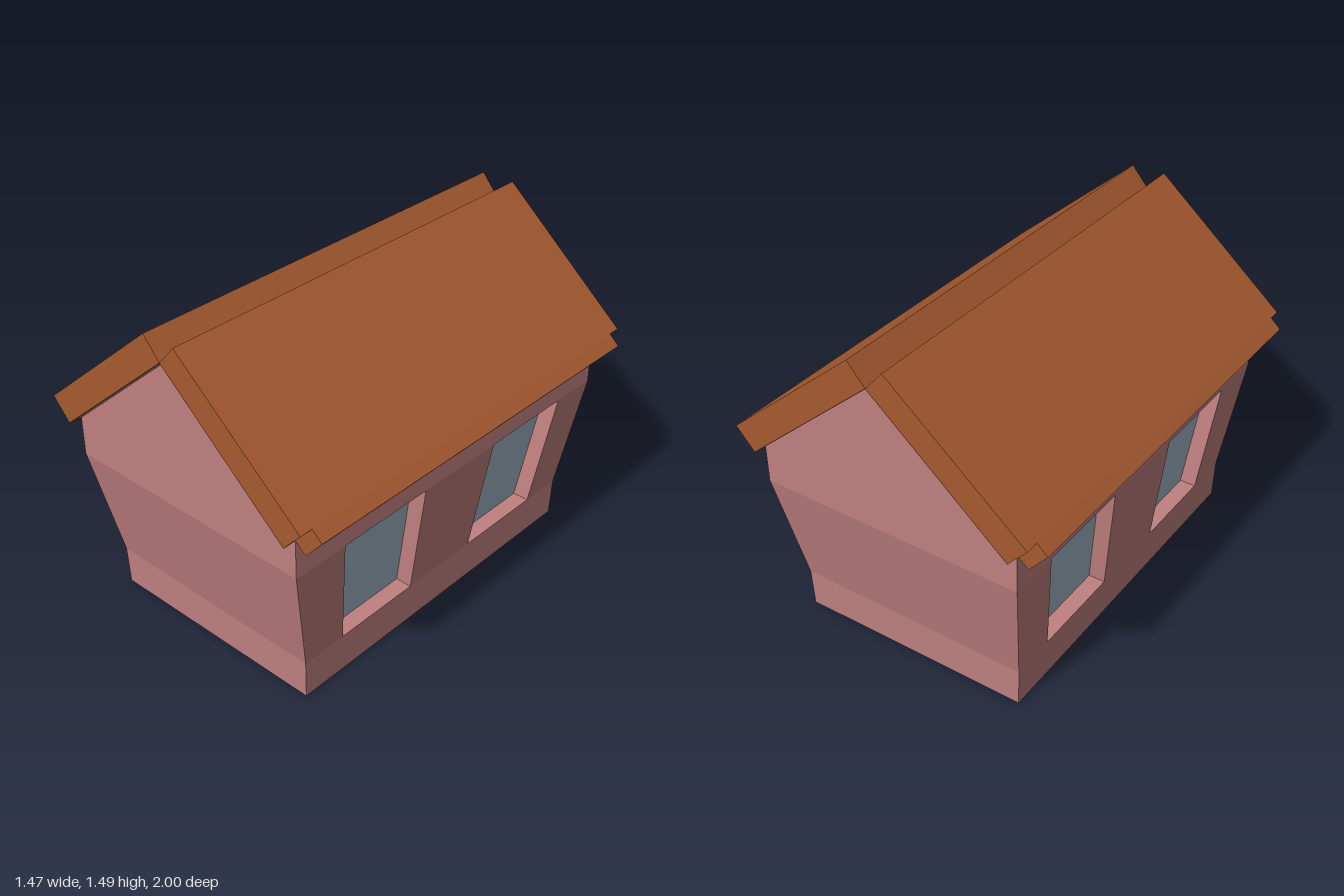
import * as THREE from 'three';

const material = (color) =>
  new THREE.MeshStandardMaterial({ color, flatShading: true, side: THREE.DoubleSide });

// Collects flat quads and triangles; mirrored corners are reversed to keep facing outward
class Faces {
  positions = [];
  add(corners, axis = 0, sign = 1) {
    let c = corners.map((p) => p.map((v, i) => (i === axis ? v * sign : v)));
    if (sign < 0) c = c.reverse();
    for (let i = 1; i < c.length - 1; i++) this.positions.push(...c[0], ...c[i], ...c[i + 1]);
  }
  mesh(name, mat) {
    const g = new THREE.BufferGeometry();
    g.setAttribute('position', new THREE.Float32BufferAttribute(this.positions, 3));
    g.computeVertexNormals();
    const m = new THREE.Mesh(g, mat);
    m.name = name;
    return m;
  }
}

export function createModel() {
  const house = new THREE.Group();
  house.name = 'house';
  const wallMat = material(0xc08080);
  const roofMat = material(0xa65a30);
  const glassMat = material(0xa5b8c9);

  // Wall levels: height, half width, half length
  const levels = [
    { y: 0, x: 0.535, z: 0.83 },
    { y: 0.178, x: 0.54, z: 0.835 },
    { y: 0.703, x: 0.605, z: 0.94 },
    { y: 0.88, x: 0.605, z: 0.94 },
  ];
  const ridge = 1.4;
  const [base, low, high, eave] = levels;

  // Window openings as z ranges at the sill and the head: [outer/front, inner/back]
  const openings = [
    { sill: [0.62, 0.2], head: [0.675, 0.2] },
    { sill: [-0.19, -0.63], head: [-0.245, -0.71] },
  ];
  const depth = 0.075;

  const walls = new Faces();
  const reveals = new Faces();
  const glass = new Faces();

  // A panel of the long wall between two levels
  const sidePanel = (a, b, sill, head) => [
    [a.x, a.y, sill[0]], [a.x, a.y, sill[1]], [b.x, b.y, head[1]], [b.x, b.y, head[0]],
  ];

  for (const s of [1, -1]) {
    // End walls with gable
    for (let i = 0; i < 3; i++) {
      const a = levels[i], b = levels[i + 1];
      walls.add([[-a.x, a.y, a.z], [a.x, a.y, a.z], [b.x, b.y, b.z], [-b.x, b.y, b.z]], 2, s);
    }
    walls.add([[-eave.x, eave.y, eave.z], [eave.x, eave.y, eave.z], [0, ridge, eave.z]], 2, s);

    // Long walls: plain bands below and above the windows
    walls.add(sidePanel(base, low, [base.z, -base.z], [low.z, -low.z]), 0, s);
    walls.add(sidePanel(high, eave, [high.z, -high.z], [eave.z, -eave.z]), 0, s);

    // Piers beside and between the windows
    let sillZ = low.z, headZ = high.z;
    for (const { sill, head } of [...openings, { sill: [-low.z], head: [-high.z] }]) {
      walls.add(sidePanel(low, high, [sillZ, sill[0]], [headZ, head[0]]), 0, s);
      sillZ = sill[1];
      headZ = head[1];
    }

    // Recessed windows
    for (const { sill, head } of openings) {
      const outer = sidePanel(low, high, sill, head);
      const inner = outer.map(([x, y, z]) => [x - depth, y, z]);
      for (let k = 0; k < 4; k++) {
        const n = (k + 1) % 4;
        reveals.add([outer[k], outer[n], inner[n], inner[k]], 0, s);
      }
      glass.add(inner, 0, s);
    }
  }
  // Floor
  walls.add([
    [-base.x, 0, base.z], [-base.x, 0, -base.z], [base.x, 0, -base.z], [base.x, 0, base.z],
  ]);

  house.add(
    walls.mesh('walls', wallMat),
    reveals.mesh('windowReveals', wallMat),
    glass.mesh('windowPanes', glassMat),
  );

  // Roof slabs: a section extruded along z
  const slab = (name, points, halfLength, s) => {
    const shape = new THREE.Shape(points.map(([x, y]) => new THREE.Vector2(s * x, y)));
    const g = new THREE.ExtrudeGeometry(shape, { depth: 2 * halfLength, bevelEnabled: false });
    g.translate(0, 0, -halfLength);
    const m = new THREE.Mesh(g, roofMat);
    m.name = name;
    house.add(m);
  };
  const soffits = new Faces();
  for (const s of [1, -1]) {
    const side = s > 0 ? 'left' : 'right';
    slab(side + 'Roof', [[0, ridge], [0.605, 0.88], [0.69, 0.975], [0.08, 1.492]], 1, s);
    slab(side + 'Eave', [[0.605, 0.88], [0.655, 0.837], [0.737, 0.932], [0.69, 0.975]], 0.94, s);

    // Wall-coloured underside of the gable overhangs
    for (const [z0, z1] of [[0.94, 1], [-1, -0.94]]) {
      const y0 = ridge - 0.002, y1 = eave.y - 0.002;
      soffits.add([[0, y0, z0], [eave.x, y1, z0], [eave.x, y1, z1], [0, y0, z1]], 0, s);
    }
  }
  house.add(soffits.mesh('gableSoffits', wallMat));

  return house;
}
